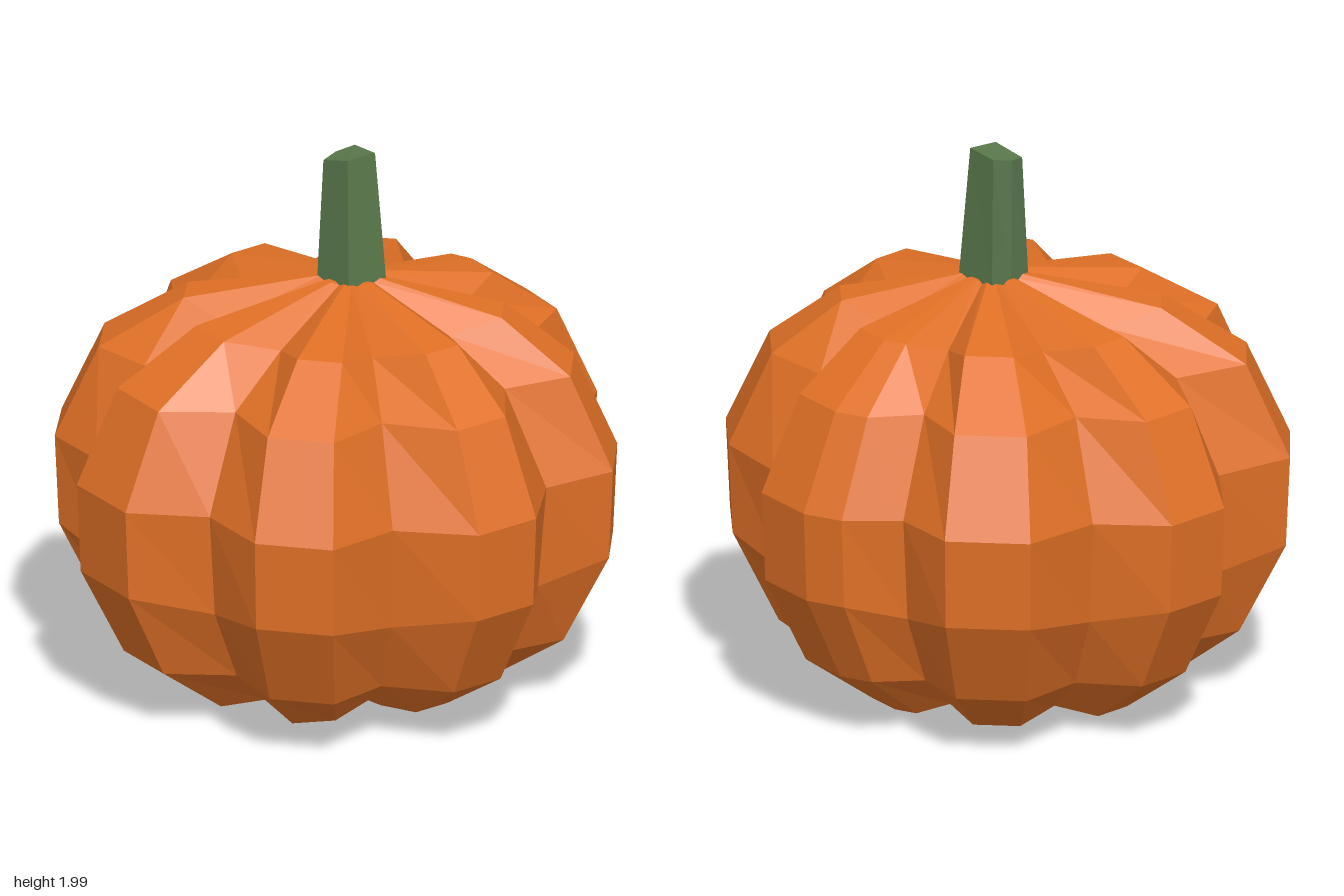
import * as THREE from 'three';

const orange = new THREE.MeshStandardMaterial({ color: 0xe07026 });
orange.name = 'pumpkin orange';
const green = new THREE.MeshStandardMaterial({ color: 0x5a784c });
green.name = 'stem green';

// Skins a stack of equal-length rings (bottom to top) and closes both ends, with faceted normals.
function loft(rings, bottom, top) {
  const n = rings[0].length;
  const pos = [];
  const tri = (...pts) => pts.forEach((p) => pos.push(...p));
  for (let j = 0; j < n; j++) {
    const k = (j + 1) % n;
    for (let i = 0; i < rings.length - 1; i++) {
      const [a, b, c, d] = [rings[i][j], rings[i + 1][j], rings[i + 1][k], rings[i][k]];
      tri(a, b, c);
      tri(a, c, d);
    }
    tri(bottom, rings[0][j], rings[0][k]);
    tri(top, rings[rings.length - 1][k], rings[rings.length - 1][j]);
  }
  const g = new THREE.BufferGeometry();
  g.setAttribute('position', new THREE.Float32BufferAttribute(pos, 3));
  g.computeVertexNormals();
  return g;
}

// Widest outline as [x, z, groove flag]: eight uneven lobes with a groove after each
const outline = [
  [-0.2, -0.98], [0.1, -0.99], [0.27, -0.79, 1],
  [0.48, -0.84], [0.62, -0.79], [0.79, -0.61], [0.78, -0.37, 1],
  [0.96, -0.17], [1.0, 0.08], [0.8, 0.25, 1],
  [0.83, 0.55], [0.67, 0.74], [0.36, 0.74, 1],
  [0.2, 0.98], [-0.08, 0.98], [-0.29, 0.76, 1],
  [-0.58, 0.81], [-0.8, 0.6], [-0.79, 0.34, 1],
  [-0.97, 0.19], [-1.0, -0.06], [-0.77, -0.23, 1],
  [-0.83, -0.56], [-0.67, -0.75], [-0.39, -0.74, 1],
];

// Levels: ridge height, ridge scale, groove height, groove scale
const levels = [
  [0.03, 0.3, 0.05, 0.3],
  [0.04, 0.55, 0.07, 0.55],
  [0.24, 0.82, 0.23, 0.79],
  [0.57, 0.985, 0.51, 0.96],
  [0.9, 1.0, 0.89, 1.0],
  [1.24, 0.845, 1.23, 0.8],
  [1.43, 0.57, 1.38, 0.5],
  [1.525, 0.1, 1.515, 0.1],
];

function bodyRing([ry, rs, gy, gs], i) {
  return outline.map(([x, z, groove]) => {
    const s = groove ? gs : rs;
    let y = groove ? gy : ry;
    // The underside sags beneath the front right lobe
    if (i === 0 && !groove && x > 0.6 && z > 0.5) y = 0;
    if (i === 1 && x + z > 0.9) y += 0.025;
    // The top gathers under the slightly offset stem
    const shift = 0.05 * Math.max(0, (i - 5) / 2);
    return [x * s + shift, y, z * s];
  });
}

export function createModel() {
  const model = new THREE.Group();
  model.name = 'pumpkin';

  const body = new THREE.Mesh(
    loft(levels.map(bodyRing), [0, 0.05, 0], [0.05, 1.52, 0]), orange);
  body.name = 'ribbedBody';

  // Five-sided tapering stem with a slanted cut
  const base = [[-0.07, 1.51, 0.02], [-0.02, 1.51, -0.06], [0.04, 1.51, -0.12], [0.17, 1.51, -0.01], [0.06, 1.51, 0.1]];
  const cut = [[-0.05, 1.955, 0.01], [-0.02, 1.965, -0.05], [0.04, 1.98, -0.09], [0.13, 1.99, -0.01], [0.05, 1.985, 0.07]];
  const stem = new THREE.Mesh(loft([base, cut], [0.05, 1.51, 0], [0.04, 1.98, -0.01]), green);
  stem.name = 'stem';

  model.add(body, stem);
  return model;
}
